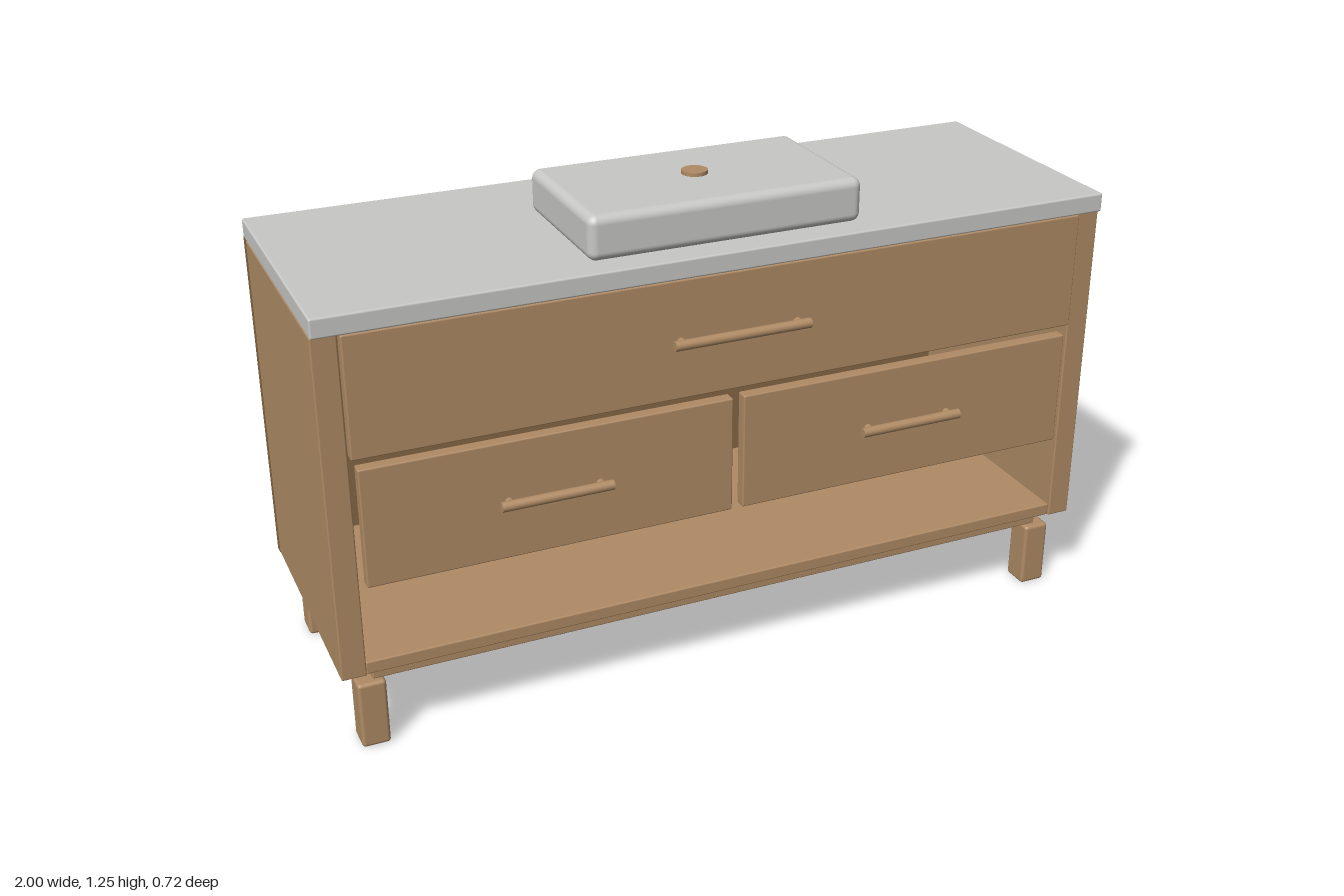
import * as THREE from 'three';
import { RoundedBoxGeometry } from 'three/addons/geometries/RoundedBoxGeometry.js';

export function createModel() {
  const model = new THREE.Group();
  model.name = 'washstand';

  const material = (name, color) => {
    const m = new THREE.MeshStandardMaterial({ color });
    m.name = name;
    return m;
  };
  const wood = material('wood', 0xb08b65);
  const darkWood = material('dark wood', 0x866845);
  const stone = material('pale grey stone', 0xc8c8c6);

  const add = (name, geometry, mat, parent = model) => {
    const mesh = new THREE.Mesh(geometry, mat);
    mesh.name = name;
    parent.add(mesh);
    return mesh;
  };

  // Box given by its extents, with softened edges of radius r
  const block = (name, [x0, x1], [y0, y1], [z0, z1], mat, r = 0.004, segments = 2) => {
    const mesh = add(name, new RoundedBoxGeometry(x1 - x0, y1 - y0, z1 - z0, segments, r), mat);
    mesh.position.set((x0 + x1) / 2, (y0 + y1) / 2, (z0 + z1) / 2);
    return mesh;
  };

  // Carcass: back, floor, base slab and worktop
  const back = add('backPanel', new THREE.BoxGeometry(2, 0.865, 0.025), darkWood);
  back.position.set(0, 0.6475, -0.3475);
  block('shelfFloor', [-0.94, 0.94], [0.217, 0.25], [-0.335, 0.31], wood);
  block('baseSlab', [-0.92, 0.92], [0.18, 0.217], [-0.305, 0.28], wood);
  block('worktop', [-1, 1], [1.078, 1.126], [-0.36, 0.327], stone, 0.005);

  // Sides and legs, mirrored
  for (const s of [-1, 1]) {
    const side = s < 0 ? 'right' : 'left';
    const span = (a, b) => (s > 0 ? [a, b] : [-b, -a]);
    block(`${side}SidePanel`, span(0.94, 1), [0.217, 1.078], [-0.335, 0.315], wood);
    block(`${side}FrontLeg`, span(0.89, 0.96), [0.004, 0.18], [0.218, 0.29], wood, 0.009);
    block(`${side}BackLeg`, span(0.89, 0.96), [0.004, 0.18], [-0.32, -0.248], wood, 0.009);
    block(`${side}DrawerFront`, span(0.014, 0.924), [0.455, 0.755], [0.295, 0.327], wood);
  }
  block('topDrawerFront', [-0.936, 0.936], [0.78, 1.078], [0.295, 0.327], wood);

  // Bar handle on two short posts
  const addHandle = (name, x, y, length) => {
    const handle = new THREE.Group();
    handle.name = name;
    handle.position.set(x, y, 0.347);
    const bar = add('bar', new THREE.CylinderGeometry(0.0125, 0.0125, length, 20), wood, handle);
    bar.rotation.z = Math.PI / 2;
    for (const s of [-1, 1]) {
      const post = add('post', new THREE.CylinderGeometry(0.011, 0.011, 0.024, 16), wood, handle);
      post.rotation.x = Math.PI / 2;
      post.position.set(s * (length / 2 - 0.025), 0, -0.01);
    }
    model.add(handle);
  };
  addHandle('topHandle', 0, 0.926, 0.35);
  addHandle('rightHandle', -0.469, 0.603, 0.275);
  addHandle('leftHandle', 0.469, 0.603, 0.275);

  // Basin with its drain cap
  block('basin', [-0.348, 0.346], [1.127, 1.236], [-0.126, 0.27], stone, 0.022, 4);
  const drain = add('drain', new THREE.CylinderGeometry(0.032, 0.032, 0.012, 32), wood);
  drain.position.set(-0.002, 1.239, 0.071);

  // Stand the legs on the ground
  for (const m of model.children) if (m.name.endsWith('Leg')) m.position.y -= 0.004;
  return model;
}
